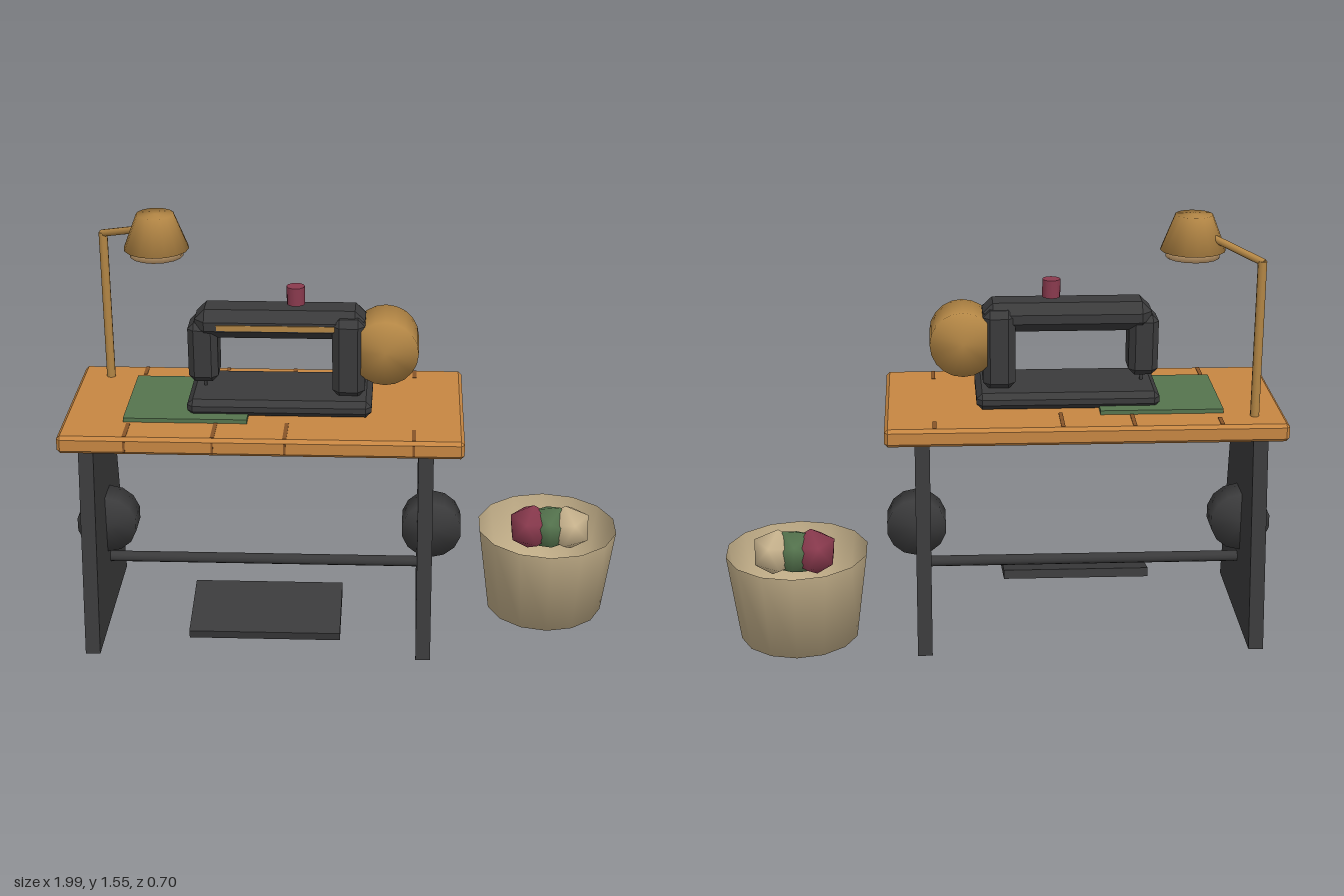
import * as THREE from 'three';
import { mergeVertices } from 'three/addons/utils/BufferGeometryUtils.js';
import { ConvexGeometry } from 'three/addons/geometries/ConvexGeometry.js';

const material = (name, color, side = THREE.FrontSide) => {
  const m = new THREE.MeshStandardMaterial({ color, side });
  m.name = name;
  return m;
};

// Box given by its limits, with every edge and corner cut at 45 degrees
function chamferBox([x0, x1], [y0, y1], [z0, z1], c) {
  const half = [(x1 - x0) / 2, (y1 - y0) / 2, (z1 - z0) / 2];
  const points = [];
  for (const sx of [-1, 1]) for (const sy of [-1, 1]) for (const sz of [-1, 1])
    for (let full = 0; full < 3; full++) {
      const [a, b, d] = half.map((h, i) => (i === full ? h : h - c));
      points.push(new THREE.Vector3(sx * a, sy * b, sz * d));
    }
  return new ConvexGeometry(points).translate((x0 + x1) / 2, (y0 + y1) / 2, (z0 + z1) / 2);
}

const plainBox = ([x0, x1], [y0, y1], [z0, z1]) =>
  new THREE.BoxGeometry(x1 - x0, y1 - y0, z1 - z0)
    .translate((x0 + x1) / 2, (y0 + y1) / 2, (z0 + z1) / 2);

// Weld all corners so that the shading runs softly over the rims
function soften(geometry) {
  geometry.deleteAttribute('normal');
  geometry.deleteAttribute('uv');
  const welded = mergeVertices(geometry);
  welded.computeVertexNormals();
  return welded;
}

// Round bar between two points
function rod(from, to, radius, sides = 10) {
  const a = new THREE.Vector3(...from), b = new THREE.Vector3(...to);
  const dir = b.clone().sub(a);
  const q = new THREE.Quaternion().setFromUnitVectors(new THREE.Vector3(0, 1, 0), dir.clone().normalize());
  const mid = a.add(b).multiplyScalar(0.5);
  return new THREE.CylinderGeometry(radius, radius, dir.length(), sides)
    .applyQuaternion(q).translate(mid.x, mid.y, mid.z);
}

export function createModel() {
  const model = new THREE.Group();
  model.name = 'sewingTable';
  const wood = material('wood', 0xc68642);
  const grain = material('darkGrain', 0x865428);
  const iron = material('blackIron', 0x3a3a3b);
  const brass = material('brass', 0xb38645);
  const glow = material('lampGlow', 0xd6ac78);
  const wicker = material('wicker', 0xc4b08a, THREE.DoubleSide);
  const cream = material('creamYarn', 0xcab58f);
  const plum = material('plumThread', 0x8a3a4e);
  const green = material('greenCloth', 0x55744e);
  const add = (name, geometry, mat) => {
    const mesh = new THREE.Mesh(geometry, mat);
    mesh.name = name;
    model.add(mesh);
    return mesh;
  };

  // Table top with short grain marks at the edges
  add('tableTop', chamferBox([-1, 0.41], [0.8, 0.865], [-0.3, 0.345], 0.012), wood);
  for (const [x, back, front] of [[-0.765, 0.07, 0.11], [-0.46, 0.15, 0.12], [-0.21, 0.14, 0.13], [0.235, 0.07, 0.09]]) {
    add('grainBack', plainBox([x - 0.007, x + 0.007], [0.863, 0.867], [-0.288, -0.288 + back]), grain);
    add('grainFront', plainBox([x - 0.007, x + 0.007], [0.863, 0.867], [0.333 - front, 0.333]), grain);
    add('grainEdge', plainBox([x - 0.004, x + 0.004], [0.812, 0.853], [0.343, 0.347]), grain);
  }

  // Tapered side panels, each with a wheel through it
  const panel = new THREE.Shape([[-0.35, 0], [0.305, 0], [0.195, 0.79], [-0.24, 0.79]]
    .map(([x, y]) => new THREE.Vector2(x, y)));
  for (const [side, x, wheelX] of [['right', -0.945, -0.89], ['left', 0.253, 0.305]]) {
    add(side + 'Panel', new THREE.ExtrudeGeometry(panel, { depth: 0.053, bevelEnabled: false })
      .rotateY(Math.PI / 2).translate(x, 0, 0), iron);
    add(side + 'Wheel', soften(new THREE.CylinderGeometry(0.11, 0.11, 0.11, 14)
      .rotateX(Math.PI / 2)).translate(wheelX, 0.385, 0.022), iron);
  }
  add('crossBar', rod([-0.9, 0.225, 0.02], [0.265, 0.225, 0.02], 0.02), iron);
  add('treadle', new THREE.BoxGeometry(0.545, 0.033, 0.27)
    .rotateX(0.23).translate(-0.293, 0.11, 0.2), iron);

  // Sewing machine
  add('cloth', plainBox([-0.785, -0.35], [0.865, 0.88], [-0.17, 0.21]), green);
  add('machineBase', chamferBox([-0.565, 0.085], [0.87, 0.93], [-0.13, 0.17], 0.02), iron);
  add('machineColumn', chamferBox([-0.055, 0.06], [0.925, 1.215], [-0.075, 0.12], 0.025), iron);
  add('machineArm', chamferBox([-0.54, 0.06], [1.13, 1.235], [-0.06, 0.1], 0.036), iron);
  add('machineHead', chamferBox([-0.565, -0.46], [0.965, 1.185], [-0.05, 0.09], 0.022), iron);
  add('armStripe', plainBox([-0.46, -0.02], [1.17, 1.19], [0.096, 0.104]), brass);
  add('needle', rod([-0.512, 0.92, 0.02], [-0.512, 0.98, 0.02], 0.006, 6), iron);
  add('handWheel', soften(new THREE.CylinderGeometry(0.118, 0.118, 0.175, 20)
    .rotateX(Math.PI / 2)).translate(0.13, 1.095, 0.022), brass);
  add('threadSpool', rod([-0.185, 1.245, 0.02], [-0.185, 1.31, 0.02], 0.032, 12), plum);

  // Lamp
  add('lampPole', rod([-0.89, 0.865, -0.2], [-0.89, 1.425, -0.2], 0.016), brass);
  add('lampArm', rod([-0.895, 1.42, -0.203], [-0.69, 1.495, -0.045], 0.013), brass);
  add('lampShade', soften(new THREE.CylinderGeometry(0.066, 0.115, 0.125, 16))
    .translate(-0.675, 1.488, -0.033), brass);
  add('lampGlow', soften(new THREE.CylinderGeometry(0.095, 0.095, 0.04, 16))
    .translate(-0.675, 1.42, -0.033), glow);

  // Open basket with balls of yarn
  const profile = [[0, 0], [0.217, 0], [0.26, 0.33]].map(([x, y]) => new THREE.Vector2(x, y));
  add('basket', new THREE.LatheGeometry(profile, 14).translate(0.74, 0, -0.088), wicker);
  for (const [name, x, tilt, mat] of [['plumYarn', 0.68, 0.45, plum], ['greenYarn', 0.75, 0.1, green], ['creamYarn', 0.82, -0.4, cream]])
    add(name, soften(new THREE.IcosahedronGeometry(0.09, 0).rotateZ(tilt))
      .translate(x, 0.322, -0.088), mat);

  return model;
}
